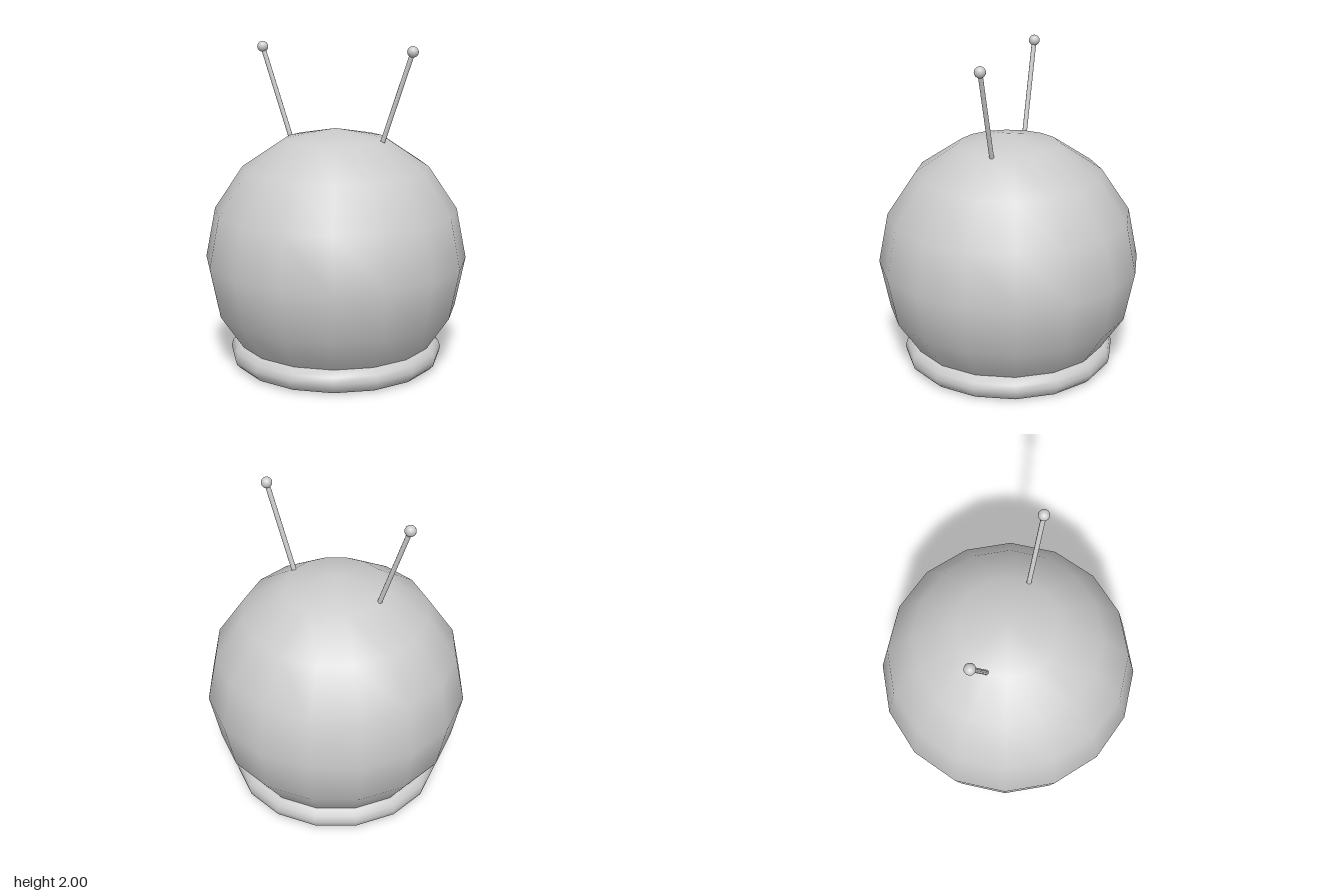
import * as THREE from 'three';

export function createModel() {
  const model = new THREE.Group();
  const solid = new THREE.MeshStandardMaterial({ color: 0xcccccc });
  const shell = new THREE.MeshStandardMaterial({ color: 0xcccccc, side: THREE.DoubleSide });

  function add(name, geometry, material, parent) {
    const mesh = new THREE.Mesh(geometry, material);
    mesh.name = name;
    parent.add(mesh);
    return mesh;
  }

  // Hollow helmet dome, open at the neck
  const dome = add('dome', new THREE.SphereGeometry(0.815, 16, 6, 0, Math.PI * 2, 0, Math.PI * 0.75), shell, model);
  dome.position.y = 0.67;

  // Padded neck ring
  const collar = add('collar', new THREE.TorusGeometry(0.59, 0.077, 12, 16), solid, model);
  collar.rotation.x = Math.PI / 2;
  collar.position.y = 0.077;

  // Pair of antennas leaning outwards
  for (const side of [1, -1]) {
    const antenna = new THREE.Group();
    antenna.name = side > 0 ? 'leftAntenna' : 'rightAntenna';
    const base = new THREE.Vector3(side * 0.31, 1.42, 0);
    const tip = new THREE.Vector3(side * 0.495, 1.966, 0);
    const axis = tip.clone().sub(base);

    const rod = add('antennaRod', new THREE.CylinderGeometry(0.015, 0.015, axis.length(), 8), solid, antenna);
    rod.position.copy(base).add(tip).multiplyScalar(0.5);
    rod.quaternion.setFromUnitVectors(new THREE.Vector3(0, 1, 0), axis.normalize());

    const ball = add('antennaBall', new THREE.SphereGeometry(0.034, 16, 12), solid, antenna);
    ball.position.copy(tip);
    model.add(antenna);
  }

  return model;
}
